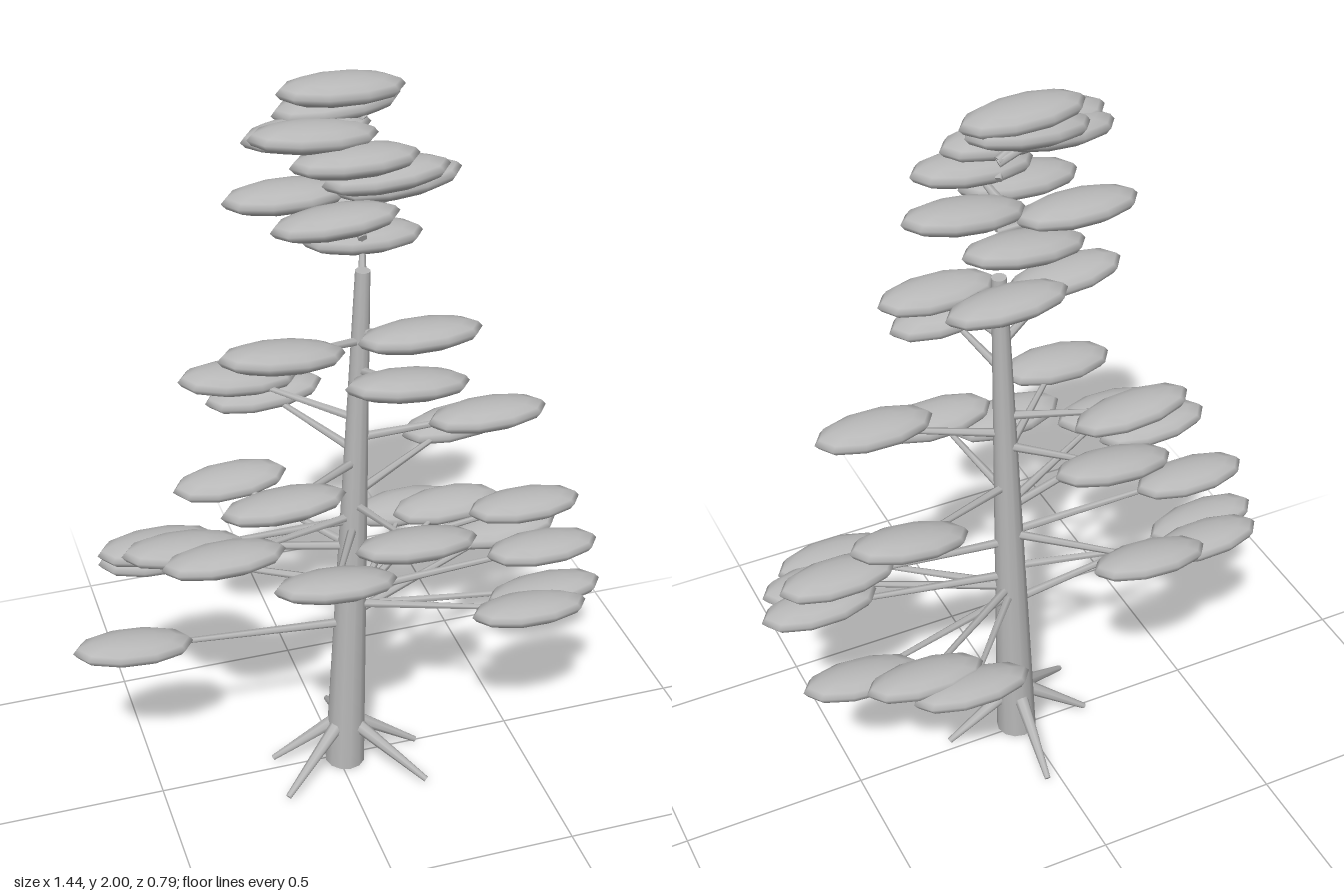
import * as THREE from 'three';

// Trunk axis
const BASE = new THREE.Vector3(0.018, 0, 0.013);
const TOP = new THREE.Vector3(0.06, 1.515, 0.013);

// Leaf pads: x, y, z, side tilt
const PADS = [
  [0.02, 1.965, -0.035, -0.03], [0.01, 1.927, -0.042, 0.08], [-0.07, 1.89, 0.04, -0.06],
  [-0.075, 1.885, 0, 0.05], [0.015, 1.84, 0.09, 0], [0.095, 1.79, 0.08, 0.06],
  [0.16, 1.727, -0.015, 0.1], [-0.04, 1.705, 0.115, 0.05], [-0.11, 1.702, -0.06, 0],
  [0.05, 1.66, -0.105, 0.08], [0.105, 1.535, -0.128, -0.03], [-0.18, 1.383, 0.138, -0.08],
  [0.155, 1.405, 0.17, 0], [0.11, 1.3, 0.215, -0.08], [-0.21, 1.16, -0.175, -0.08],
  [0.367, 1.105, 0.095, 0.01], [-0.125, 1.065, -0.245, 0.08], [-0.21, 1.035, 0.242, 0.04],
  [0.385, 0.935, -0.155, 0.12], [0.105, 0.905, 0.317, -0.03], [-0.35, 0.87, 0.19, 0.01],
  [-0.43, 0.857, 0.1, -0.05], [-0.105, 0.835, 0.328, -0.06], [-0.465, 0.775, -0.05, 0],
  [-0.21, 0.772, -0.298, 0.06], [0.52, 0.745, 0.007, 0], [-0.445, 0.655, -0.175, -0.03],
  [0.56, 0.628, 0.052, 0], [0.445, 0.59, 0.252, -0.02], [0.515, 0.585, 0.18, 0.04],
  [0.405, 0.59, -0.273, 0.04], [0.305, 0.566, -0.332, 0.03], [0.535, 0.552, -0.168, 0.08],
  [-0.56, 0.53, 0.03, -0.08],
];

// Root tips: angle from +x towards +z (degrees), reach
const ROOTS = [[1, 0.205], [44, 0.25], [147, 0.24], [191, 0.2], [275, 0.245]];

export function createModel() {
  const tree = new THREE.Group();
  tree.name = 'tree';
  const grey = new THREE.MeshStandardMaterial({ color: 0xb8b8b8 });
  grey.name = 'grey';

  // Tapered limb running from a to b
  function limb(name, a, b, ra, rb, sides) {
    const dir = b.clone().sub(a);
    const mesh = new THREE.Mesh(new THREE.CylinderGeometry(rb, ra, dir.length(), sides), grey);
    mesh.position.copy(a).add(b).multiplyScalar(0.5);
    mesh.quaternion.setFromUnitVectors(new THREE.Vector3(0, 1, 0), dir.normalize());
    mesh.name = name;
    tree.add(mesh);
  }

  limb('trunk', BASE, TOP, 0.055, 0.019, 12);

  // Splayed roots
  for (const [deg, reach] of ROOTS) {
    const a = THREE.MathUtils.degToRad(deg);
    const at = (r, y) => new THREE.Vector3(BASE.x + r * Math.cos(a), y, BASE.z + r * Math.sin(a));
    limb('root', at(0.025, 0.138), at(reach, 0.015), 0.02, 0.008, 8);
  }

  // Flat leaf pads, each on a gently rising branch
  const padGeometry = new THREE.SphereGeometry(1, 10, 8);
  for (const [x, y, z, tilt] of PADS) {
    const startY = y - 0.06;
    const start = BASE.clone().lerp(TOP, Math.min(startY / TOP.y, 1)).setY(startY);
    limb('branch', start, new THREE.Vector3(x, y, z), 0.012, 0.006, 6);

    const pad = new THREE.Mesh(padGeometry, grey);
    pad.name = 'leafPad';
    pad.scale.set(0.158, 0.036, 0.071);
    pad.position.set(x, y, z);
    pad.rotation.set(-0.4 * z, 0, tilt);
    tree.add(pad);
  }
  return tree;
}
